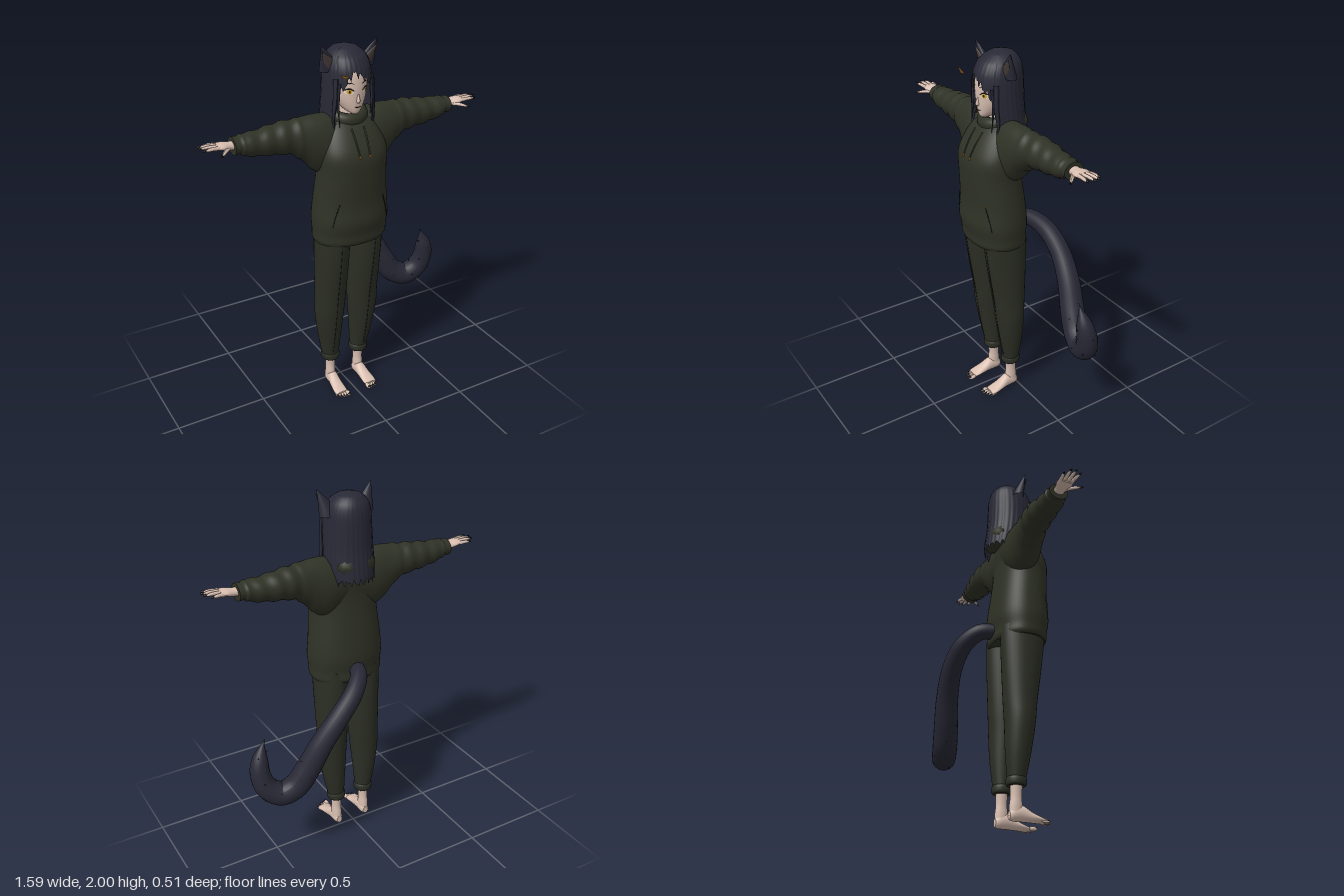
import * as THREE from 'three';

const mat = (name, color, side = THREE.FrontSide) => {
  const m = new THREE.MeshStandardMaterial({ color, side });
  m.name = name;
  return m;
};
const V = (x, y, z) => new THREE.Vector3(x, y, z);

// Surface from a rule: fn(row, angle) -> Vector3, closed around the angle
function grid(rows, cols, fn, closed = true, arc = Math.PI * 2) {
  const pos = [], idx = [], n = closed ? cols : cols + 1;
  for (let i = 0; i <= rows; i++)
    for (let j = 0; j < n; j++) pos.push(...fn(i, (j / cols) * arc).toArray());
  for (let i = 0; i < rows; i++)
    for (let j = 0; j < cols; j++) {
      const a = i * n + j, b = i * n + (j + 1) % n;
      idx.push(a, a + n, b, b, a + n, b + n);
    }
  const g = new THREE.BufferGeometry();
  g.setAttribute('position', new THREE.Float32BufferAttribute(pos, 3));
  g.setIndex(idx);
  g.computeVertexNormals();
  return g;
}

const spline = (p, t) => {
  const i = Math.min(Math.floor(t), p.length - 2), f = t - i;
  const b = p[i], c = p[i + 1], a = p[Math.max(i - 1, 0)], d = p[Math.min(i + 2, p.length - 1)];
  return b.map((_, k) => {
    const m0 = (c[k] - a[k]) / 2, m1 = (d[k] - b[k]) / 2, e = b[k] - c[k];
    return b[k] + m0 * f + (-3 * e - 2 * m0 - m1) * f * f + (2 * e + m0 + m1) * f * f * f;
  });
};

// Capped loft along an axis; sections are [position, centreA, centreB, radiusA, radiusB]
function loft(axis, sections, { cols = 32, step = 4, power = 1, fold = () => 0 } = {}) {
  const rings = (sections.length - 1) * step;
  const pw = v => Math.sign(v) * Math.abs(v) ** power;
  return grid(rings + 4, cols, (i, th) => {
    const k = THREE.MathUtils.clamp(i - 2, 0, rings);
    const [s, a, b, ra, rb] = spline(sections, k / step);
    const q = i === 0 || i === rings + 4 ? 0 : 1 + fold(s, th);
    const u = a + q * ra * pw(Math.cos(th)), w = q * rb * pw(Math.sin(th));
    return axis === 'y' ? V(u, s, b + w) : axis === 'x' ? V(s, u, b - w) : V(u, b - w, s);
  });
}

// Round tube with a changing radius
function sweep(points, radii, seg = 16, sides = 10) {
  const curve = new THREE.CatmullRomCurve3(points.map(p => V(...p)));
  const g = new THREE.TubeGeometry(curve, seg, 1, sides), p = g.attributes.position, v = V(0, 0, 0);
  const list = radii.map(r => [r]);
  for (let i = 0; i <= seg; i++) {
    const c = curve.getPointAt(i / seg), r = Math.max(spline(list, (i / seg) * (list.length - 1))[0], 0.0002);
    for (let j = 0; j <= sides; j++) {
      const k = i * (sides + 1) + j;
      v.fromBufferAttribute(p, k).sub(c).multiplyScalar(r).add(c);
      p.setXYZ(k, v.x, v.y, v.z);
    }
  }
  g.computeVertexNormals();
  return g;
}

function mirrored(geo) {
  const g = geo.clone().scale(-1, 1, 1), a = g.index.array;
  for (let i = 0; i < a.length; i += 3) [a[i], a[i + 1]] = [a[i + 1], a[i]];
  return g;
}
const ball = (x, y, z, rx, ry, rz) => new THREE.SphereGeometry(1, 12, 8).scale(rx, ry, rz).translate(x, y, z);

export function createModel() {
  const model = new THREE.Group();
  const skin = mat('skin', 0xd9bfb1), cloth = mat('hoodie cloth', 0x2f3226), pants = mat('trouser cloth', 0x2c2f25);
  const hair = mat('dark hair', 0x282936, THREE.DoubleSide), dark = mat('near black', 0x17161a, THREE.DoubleSide);
  const gold = mat('gold eye', 0xd9a62a), white = mat('eye white', 0xe6dfd8);
  const orange = mat('orange clip', 0xb0701f, THREE.DoubleSide), inner = mat('inner ear', 0x463b38, THREE.DoubleSide);
  const add = (name, geo, m) => {
    const o = new THREE.Mesh(geo, m);
    o.name = name;
    model.add(o);
    return o;
  };
  const pair = (name, geo, m) => [add('left ' + name, geo, m), add('right ' + name, mirrored(geo), m)];
  const ray = new THREE.Raycaster();
  const frontOf = (mesh, x, y, off) => {
    ray.set(V(x, y, 2), V(0, 0, -1));
    const h = ray.intersectObject(mesh)[0];
    return V(x, y, (h ? h.point.z : 0.1) + off);
  };

  // Hoodie: body, hem, sleeves, hood
  const body = add('hoodie body', loft('y', [
    [0.97, 0, 0.09, 0.195, 0.138], [0.99, 0, 0.09, 0.203, 0.146], [1.03, 0, 0.092, 0.204, 0.146],
    [1.1, 0, 0.095, 0.208, 0.155], [1.2, 0, 0.096, 0.2, 0.146], [1.35, 0, 0.11, 0.186, 0.14],
    [1.45, 0, 0.114, 0.187, 0.135], [1.53, 0, 0.095, 0.17, 0.118], [1.6, 0, 0.073, 0.14, 0.09],
    [1.635, 0, 0.06, 0.1, 0.06]], { cols: 48, power: 0.9 }), cloth);
  const folds = (x, th) => (x > 0.28 && x < 0.57 ? 0.05 * Math.sin(x * 75 + 1.2 * Math.sin(th)) : 0);
  pair('sleeve', loft('x', [
    [0.02, 1.52, 0.06, 0.125, 0.08], [0.13, 1.5, 0.065, 0.158, 0.095], [0.2, 1.515, 0.065, 0.145, 0.09],
    [0.25, 1.54, 0.062, 0.115, 0.084], [0.32, 1.562, 0.055, 0.088, 0.077], [0.4, 1.565, 0.05, 0.076, 0.075],
    [0.5, 1.565, 0.053, 0.062, 0.065], [0.57, 1.573, 0.055, 0.052, 0.06], [0.585, 1.575, 0.055, 0.043, 0.052],
    [0.617, 1.575, 0.055, 0.044, 0.053]], { step: 6, fold: folds }), cloth);
  add('hood collar', new THREE.TorusGeometry(0.078, 0.032, 14, 36).scale(1, 1, 1.25)
    .rotateX(Math.PI / 2 + 0.28).translate(0, 1.635, 0.055), cloth);
  add('hood back', ball(0, 1.62, -0.03, 0.11, 0.07, 0.055), cloth);
  const onBody = (x, y) => frontOf(body, x, y, 0.002).toArray();
  pair('pocket edge', sweep([[0.16, 1.09], [0.15, 1.14], [0.125, 1.22]].map(p => onBody(...p)), [0.002, 0.002]), dark);
  pair('drawstring', sweep([[0.035, 1.59], [0.032, 1.53], [0.028, 1.47]].map(p => onBody(...p)), [0.004, 0.004]), cloth);
  pair('drawstring tip', ball(...onBody(0.028, 1.462), 0.005, 0.008, 0.005), orange);

  // Trousers with seams and rolled cuffs
  const [leg] = pair('trouser leg', loft('y', [
    [0.2, 0.09, 0.043, 0.046, 0.045], [0.35, 0.1, 0.05, 0.066, 0.066], [0.5, 0.104, 0.059, 0.082, 0.08],
    [0.62, 0.1, 0.063, 0.085, 0.09], [0.8, 0.098, 0.073, 0.088, 0.108], [0.95, 0.097, 0.08, 0.089, 0.12],
    [1.03, 0.095, 0.082, 0.09, 0.12]]), pants);
  pair('cuff', loft('y', [[0.178, 0.09, 0.043, 0.045, 0.046], [0.188, 0.09, 0.043, 0.052, 0.053],
    [0.212, 0.09, 0.043, 0.053, 0.053], [0.224, 0.09, 0.043, 0.046, 0.046]]), pants);
  const seam = [0.24, 0.4, 0.6, 0.8, 0.96].map(y => frontOf(leg, 0.1, y, 0.0005).toArray());
  pair('trouser seam', sweep(seam, [0.0018, 0.0018], 24, 6), dark);

  // Bare feet
  pair('ankle', loft('y', [[0.03, 0.09, 0.037, 0.026, 0.034], [0.08, 0.09, 0.04, 0.027, 0.034],
    [0.13, 0.09, 0.041, 0.026, 0.029], [0.21, 0.09, 0.043, 0.031, 0.034]], { cols: 20 }), skin);
  pair('foot', loft('z', [[0.004, 0.089, 0.032, 0.017, 0.022], [0.025, 0.089, 0.038, 0.027, 0.034],
    [0.07, 0.09, 0.045, 0.03, 0.041], [0.115, 0.093, 0.031, 0.034, 0.027], [0.16, 0.095, 0.02, 0.038, 0.016],
    [0.19, 0.094, 0.015, 0.035, 0.01]], { cols: 20 }), skin);
  for (let i = 0; i < 5; i++) {
    const r = i ? 0.0085 - i * 0.0006 : 0.012, x = 0.066 + i * 0.015, z = 0.204 - i * i * 0.0014;
    pair('toe', ball(x, r + 0.003, z, r, r, 0.024), skin);
    pair('toenail', ball(x, r + 0.007, z + 0.014, r * 0.7, r * 0.6, 0.008), dark);
  }

  // Hands: palm, fingers and painted nails
  pair('palm', loft('x', [[0.6, 1.577, 0.055, 0.022, 0.028], [0.635, 1.58, 0.056, 0.02, 0.031],
    [0.67, 1.587, 0.059, 0.017, 0.042], [0.7, 1.59, 0.06, 0.012, 0.038]], { cols: 20 }), skin);
  const fingers = [[0.69, 1.588, 0.029, 0.755, 1.588, 0.017], [0.695, 1.592, 0.049, 0.783, 1.594, 0.043],
    [0.695, 1.592, 0.069, 0.788, 1.595, 0.07], [0.69, 1.59, 0.087, 0.775, 1.592, 0.1], [0.64, 1.577, 0.075, 0.707, 1.566, 0.145]];
  fingers.forEach(([x, y, z, X, Y, Z]) => {
    const mid = [(x + X) / 2, (y + Y) / 2 + 0.003, (z + Z) / 2];
    pair('finger', sweep([[x, y, z], mid, [X, Y, Z]], [0.011, 0.0095, 0.008, 0.001], 12, 8), skin);
    const d = V(X - x, Y - y, Z - z).normalize().multiplyScalar(0.012);
    pair('fingernail', sweep([[X - d.x, Y + 0.004, Z - d.z], [X + d.x * 0.4, Y + 0.001, Z + d.z * 0.4]], [0.006, 0.005, 0.0005], 5, 8), dark);
  });

  // Head, neck and face
  add('neck', loft('y', [[1.54, 0, 0.06, 0.05, 0.05], [1.6, 0, 0.065, 0.043, 0.043], [1.71, 0, 0.055, 0.042, 0.042]]), skin);
  const head = add('head', loft('y', [[1.655, 0, 0.132, 0.014, 0.024], [1.67, 0, 0.113, 0.036, 0.052],
    [1.7, 0, 0.088, 0.06, 0.083], [1.74, 0, 0.07, 0.079, 0.105], [1.8, 0, 0.062, 0.089, 0.115],
    [1.86, 0, 0.058, 0.094, 0.112], [1.92, 0, 0.05, 0.078, 0.092], [1.96, 0, 0.04, 0.04, 0.05]], { cols: 48, power: 0.92 }), skin);
  add('nose', loft('y', [[1.716, 0, 0.17, 0.004, 0.006], [1.727, 0, 0.172, 0.009, 0.017],
    [1.76, 0, 0.168, 0.006, 0.01], [1.79, 0, 0.165, 0.003, 0.006]], { cols: 14 }), skin);
  const spot = (cx, cy, rx, ry, off) => grid(4, 18, (i, th) =>
    frontOf(head, cx + (rx * i / 4) * Math.cos(th), cy + (ry * i / 4) * Math.sin(th), off));
  const line = (pts, r) => sweep(pts.map(p => frontOf(head, ...p, 0.002).toArray()), r, 10, 6);
  pair('eye white', spot(0.045, 1.776, 0.02, 0.012, 0.002), white);
  pair('iris', spot(0.045, 1.777, 0.0115, 0.012, 0.004), gold);
  pair('pupil', spot(0.045, 1.777, 0.004, 0.007, 0.006), dark);
  pair('eyelash', line([[0.023, 1.78], [0.042, 1.791], [0.067, 1.782]], [0.0015, 0.0035, 0.002]), dark);
  pair('eyebrow', line([[0.02, 1.813], [0.045, 1.82], [0.068, 1.811]], [0.001, 0.002, 0.001]), dark);
  add('mouth', line([[-0.017, 1.696], [0, 1.694], [0.017, 1.696]], [0.001, 0.0018, 0.001]), dark);

  // Hair shell: [height, half width, front z, back z], with a ragged hem by direction
  const shape = [[1.985, 0.001, 0.04, 0.038], [1.967, 0.062, 0.1, -0.022], [1.93, 0.1, 0.152, -0.055],
    [1.88, 0.117, 0.18, -0.068], [1.8, 0.123, 0.19, -0.072], [1.7, 0.127, 0.18, -0.076], [1.6, 0.129, 0.165, -0.088], [1.53, 0.122, 0.15, -0.094]];
  const fringe = [[-0.9, 1.76], [-0.62, 1.8], [-0.25, 1.87], [0.1, 1.85], [0.5, 1.81], [0.9, 1.75]];
  const hem = a => { // a = 0 faces front, positive toward the model's left
    const rag = 0.012 * Math.sin(a * 23) + 0.01 * Math.sin(a * 41 + 1);
    if (Math.abs(a) > 0.9) return (Math.abs(a) > 1.5 ? 1.545 : 1.585) + rag;
    const k = Math.max(fringe.findIndex(f => f[0] >= a), 1), [p, q] = [fringe[k - 1], fringe[k]];
    return THREE.MathUtils.mapLinear(a, p[0], q[0], p[1], q[1]) + rag;
  };
  const shapeAt = y => {
    let k = shape.findIndex(s => s[0] <= y);
    k = k < 0 ? shape.length - 1 : Math.max(k, 1);
    return spline(shape, k - 1 + (shape[k - 1][0] - y) / (shape[k - 1][0] - shape[k][0]));
  };
  add('hair', grid(26, 120, (i, th) => {
    const a = th - Math.PI, t = i / 26, y = 1.985 - (1.985 - hem(a)) * t ** 1.5;
    const [, w, f, b] = shapeAt(Math.max(y, 1.531));
    const r = 1 + 0.012 * Math.sin(a * 30) * t;
    return V(w * r * Math.sin(a), y, (f + b) / 2 + ((f - b) / 2) * r * Math.cos(a));
  }), hair);
  pair('front strand', sweep([[0.098, 1.84, 0.13], [0.106, 1.72, 0.135], [0.113, 1.63, 0.13], [0.108, 1.56, 0.145]], [0.014, 0.013, 0.009, 0.001]), hair);
  pair('thin strand', sweep([[0.09, 1.82, 0.15], [0.094, 1.72, 0.145], [0.092, 1.6, 0.155]], [0.007, 0.006, 0.001]), hair);

  // Pointed ears with a flatter front
  const ear = (size, off) => (i, th) => {
    const t = i / 10, s = size * (1 - t ** 1.3), sn = Math.sin(th);
    return V(0.098 + 0.054 * s * Math.cos(th) + 0.057 * t ** 1.4, 1.865 + off * 2 + (0.135 - off * 5) * t,
      0.065 + (sn > 0 ? 0.025 : 0.042) * s * sn + 0.022 * t + off);
  };
  const shell = ear(1, 0);
  pair('ear', grid(10, 24, (i, th) => shell(i, -th + Math.PI * 2)).scale(1, 1, 1), hair);
  pair('inner ear', grid(10, 12, ear(0.72, 0.009), false, Math.PI), inner);

  // Crescent hair clip
  const moon = new THREE.Shape();
  moon.moveTo(-0.025, 0.012).quadraticCurveTo(-0.012, -0.024, 0.025, -0.004).quadraticCurveTo(-0.004, -0.006, -0.025, 0.012);
  const clip = new THREE.ExtrudeGeometry(moon, { depth: 0.006, bevelEnabled: false, curveSegments: 8 });
  add('hair clip', clip.translate(-0.09, 1.872, 0.203), orange);

  // Tail with small fur tufts
  const path = [[0, 1.04, -0.03], [0.03, 1.035, -0.11], [0.1, 0.98, -0.175], [0.2, 0.88, -0.2], [0.3, 0.745, -0.19], [0.38, 0.59, -0.165],
    [0.44, 0.5, -0.147], [0.515, 0.467, -0.125], [0.585, 0.515, -0.1], [0.61, 0.6, -0.08], [0.598, 0.69, -0.065], [0.565, 0.785, -0.055]];
  add('tail', sweep(path, [0.042, 0.046, 0.051, 0.054, 0.058, 0.062, 0.066, 0.067, 0.064, 0.056, 0.043, 0.001], 72, 20), hair);
  const tailCurve = new THREE.CatmullRomCurve3(path.map(p => V(...p)));
  for (let i = 0; i < 22; i++) {
    const t = 0.5 + i * 0.021, c = tailCurve.getPointAt(t), d = tailCurve.getTangentAt(t);
    const side = V(0, 0, 1).applyAxisAngle(d, i * 2.4).cross(d).normalize();
    const r = t < 0.8 ? 0.062 : 0.062 - (t - 0.8) * 0.2;
    const tuft = new THREE.ConeGeometry(0.006, 0.026, 5);
    tuft.applyQuaternion(new THREE.Quaternion().setFromUnitVectors(V(0, 1, 0), side.clone().add(d).normalize()));
    add('tail tuft', tuft.translate(...c.addScaledVector(side, r).toArray()), hair);
  }
  return model;
}
